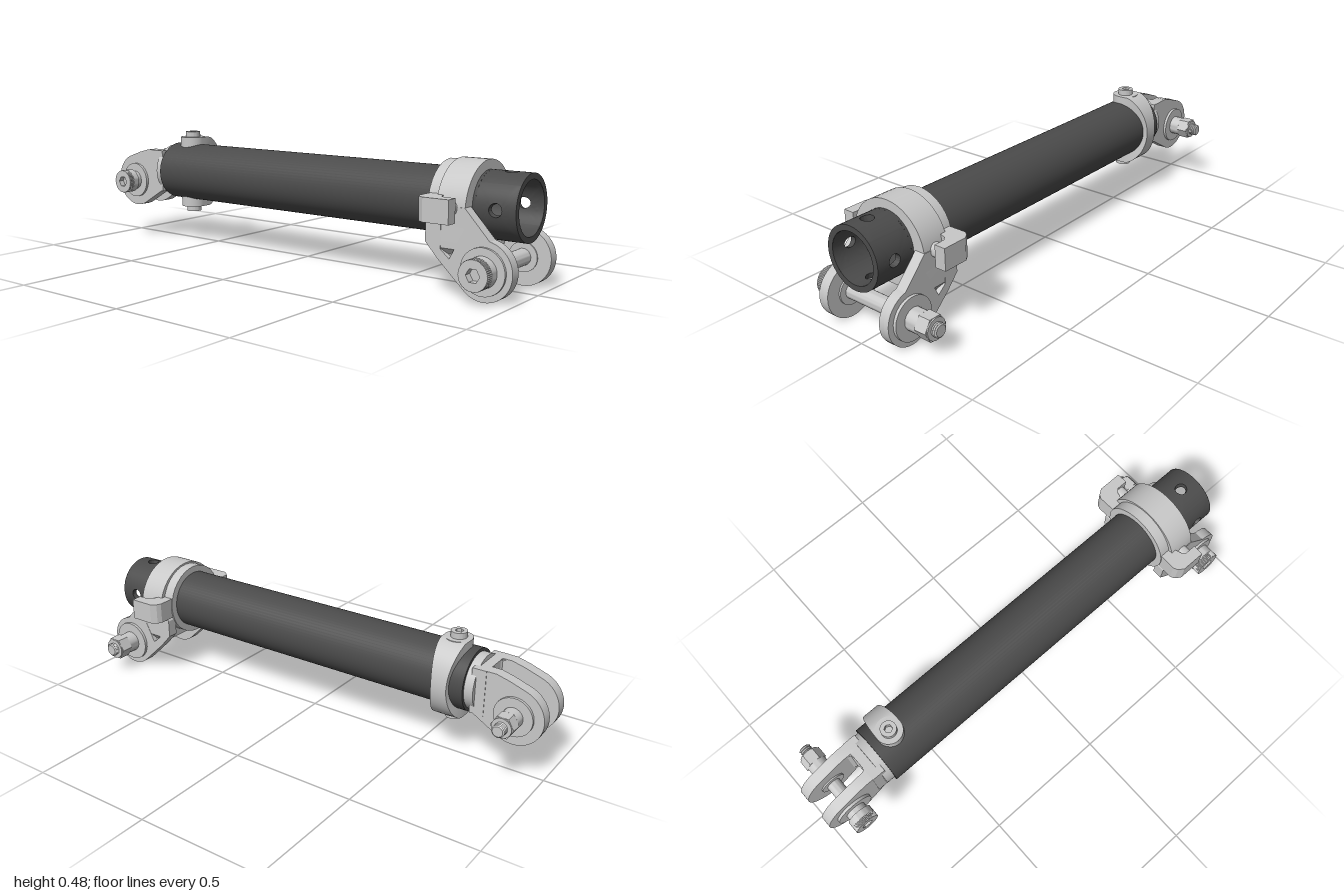
import * as THREE from 'three';
import { toCreasedNormals } from 'three/addons/utils/BufferGeometryUtils.js';

const CX = -0.03, CY = 0.304, R = 0.12, RI = 0.098; // tube axis and radii
const V = (x, y) => new THREE.Vector2(x, y);

export function createModel() {
  const model = new THREE.Group();
  const mat = (name, color, side = THREE.FrontSide) => {
    const m = new THREE.MeshStandardMaterial({ color, side });
    m.name = name;
    return m;
  };
  const steel = mat('light grey metal', 0xc8c8c8);
  const dark = mat('dark grey tube', 0x4b4b4b, THREE.DoubleSide);

  const add = (name, geo, m = steel, parent = model) => {
    const mesh = new THREE.Mesh(geo, m);
    mesh.name = name;
    parent.add(mesh);
    return mesh;
  };
  const poly = (pts) => new THREE.Shape(pts.map(([x, y]) => V(x, y)));
  const extrude = (shape, depth, curveSegments = 16) =>
    toCreasedNormals(new THREE.ExtrudeGeometry(shape, { depth, bevelEnabled: false, curveSegments }), 0.45);
  // side profile given as (z, y), extruded from x0 to x1
  const extrudeX = (shape, x0, x1) => extrude(shape, x1 - x0).rotateY(-Math.PI / 2).translate(x1, 0, 0);
  const rodX = (x0, x1, r, y, z, seg = 32) =>
    toCreasedNormals(new THREE.CylinderGeometry(r, r, x1 - x0, seg), 0.5)
      .rotateZ(-Math.PI / 2).translate((x0 + x1) / 2, y, z);
  const rodY = (y0, y1, r, x, z) =>
    new THREE.CylinderGeometry(r, r, y1 - y0, 28).translate(x, (y0 + y1) / 2, z);
  const circlePath = (x, y, r, seg = 32) =>
    new THREE.Path(Array.from({ length: seg }, (_, i) => {
      const a = -i / seg * Math.PI * 2;
      return V(x + r * Math.cos(a), y + r * Math.sin(a));
    }));
  // saw-tooth thread running up from y = 0
  const thread = (len, r) => {
    const pts = [V(0, 0)], n = Math.round(len / 0.008);
    for (let i = 0; i < n; i++) pts.push(V(r * 0.85, i / n * len), V(r, (i + 0.5) / n * len));
    pts.push(V(r * 0.8, len), V(0, len));
    return toCreasedNormals(new THREE.LatheGeometry(pts, 24), 0.5);
  };

  // ---- tube ----
  const z0 = -0.70, z1 = 0.83, z2 = 0.98;
  add('tube', toCreasedNormals(new THREE.LatheGeometry(
    [V(RI, z1), V(RI, z0), V(R, z0), V(R, z1)], 64), 0.5).rotateX(Math.PI / 2).translate(CX, CY, 0), dark);

  // drilled tube end: four bent panels, each with a round hole
  const panel = (quarter) => {
    const N = 40, M = 6, pos = [], idx = [], halfZ = (z2 - z1) / 2, arc = Math.PI / 4, hole = 0.024;
    const row = (t, r) => {
      for (let i = 0; i <= N; i++) {
        const a = i / N * Math.PI * 2, c = Math.cos(a), s = Math.sin(a), k = 1 / Math.max(Math.abs(c), Math.abs(s));
        const th = quarter * Math.PI / 2 + THREE.MathUtils.lerp(hole / R * c, arc * c * k, t);
        const z = (z1 + z2) / 2 + THREE.MathUtils.lerp(hole * s, halfZ * s * k, t);
        pos.push(CX + r * Math.cos(th), CY + r * Math.sin(th), z);
      }
    };
    for (let j = 0; j <= M; j++) row(1 - j / M, R);  // outside, inwards to the hole
    for (let j = 0; j <= M; j++) row(j / M, RI);     // hole wall, then inside
    for (let j = 0; j <= 2 * M; j++) for (let i = 0; i < N; i++) {
      const a = j * (N + 1) + i, b = a + N + 1;
      idx.push(a, a + 1, b, b, a + 1, b + 1);
    }
    const g = new THREE.BufferGeometry();
    g.setAttribute('position', new THREE.Float32BufferAttribute(pos, 3));
    g.setIndex(idx);
    return toCreasedNormals(g, 0.6);
  };
  for (let q = 0; q < 4; q++) add('drilledTubeEnd', panel(q), dark);
  add('tubeRim', new THREE.RingGeometry(RI, R, 64).translate(CX, CY, z2), dark);

  // ---- knurled socket bolt with washers, nut and thread ----
  const bolt = (name, y, z, k, d) => {
    const g = new THREE.Group();
    g.name = name;
    model.add(g);
    const head = new THREE.Shape(), n = 100, r = 0.055 * k;
    for (let i = 0; i < n; i++) {
      const a = i / n * Math.PI * 2, q = i % 2 ? r : r * 0.965;
      head[i ? 'lineTo' : 'moveTo'](z + q * Math.cos(a), y + q * Math.sin(a));
    }
    head.holes.push(circlePath(z, y, 0.026 * k, 6));
    const knurl = d.head + (d.headEnd - d.head) * 0.45;
    add('knurledHead', extrudeX(head, d.head, knurl), steel, g);
    add('headCollar', rodX(knurl, d.headEnd, r, y, z, 40), steel, g);
    add('headSpacer', rodX(d.headEnd, d.left, 0.045 * k, y, z), steel, g);
    add('shaft', rodX(d.left, d.right, 0.031 * k, y, z), steel, g);
    for (const [a, b] of [[d.left - 0.011, d.left + 0.001], [d.right - 0.001, d.right + 0.011]])
      add('washer', rodX(a, b, 0.083 * k, y, z, 40), steel, g);
    for (const x of [d.left + d.arm, d.right - d.arm])
      add('bushing', rodX(x - 0.006, x + 0.006, 0.055 * k, y, z), steel, g);
    add('nutSpacer', rodX(d.right, d.nut, 0.043 * k, y, z), steel, g);
    add('hexNut', rodX(d.nut, d.nutEnd, 0.049 * k, y, z, 6), steel, g);
    add('nutFace', rodX(d.nutEnd, d.nutEnd + 0.005, 0.042 * k, y, z), steel, g);
    add('boltThread', thread(d.end - d.nutEnd, 0.027 * k).rotateZ(-Math.PI / 2).translate(d.nutEnd, y, z), steel, g);
  };

  // ---- front fork ----
  const arch = new THREE.Shape();
  arch.moveTo(CX - 0.15, 0.143);
  arch.lineTo(CX + 0.15, 0.143);
  arch.lineTo(CX + 0.169, 0.165);
  arch.lineTo(CX + 0.169, 0.29);
  arch.absarc(CX, 0.29, 0.169, 0, Math.PI, false);
  arch.lineTo(CX - 0.169, 0.165);
  arch.holes.push(circlePath(CX, CY, R - 0.001, 48));
  add('clampBody', extrude(arch, 0.11, 14).translate(0, 0, 0.71));
  const flange = new THREE.Shape().absarc(CX, CY, 0.148, 0, Math.PI * 2, false);
  flange.holes.push(circlePath(CX, CY, R - 0.001, 48));
  add('clampFlange', extrude(flange, 0.05).translate(0, 0, 0.665));

  const armShape = () => {
    const s = new THREE.Shape();
    s.absarc(0.895, 0.105, 0.105, Math.PI * 1.25, Math.PI * 2.44, false);
    for (const p of [[0.82, 0.31], [0.71, 0.31], [0.67, 0.25], [0.67, 0.18], [0.72, 0.125]]) s.lineTo(...p);
    return s;
  };
  const outer = armShape();
  outer.holes.push(poly([[0.82, 0.24], [0.73, 0.25], [0.73, 0.16], [0.765, 0.13], [0.79, 0.18]]));
  for (const s of [-1, 1]) {
    const span = (a, b) => [CX + s * a, CX + s * b].sort((p, q) => p - q);
    add('frontForkArm', extrudeX(armShape(), ...span(0.127, 0.15)));
    add('frontForkArmRim', extrudeX(outer, ...span(0.15, 0.17)));
    // hooked wing beside the clamp
    const wing = poly([[0.125, 0.67], [0.21, 0.668], [0.228, 0.677], [0.243, 0.70], [0.243, 0.80],
      [0.198, 0.80], [0.198, 0.755], [0.185, 0.74], [0.155, 0.73], [0.125, 0.73]].map(([x, z]) => [CX + s * x, z]));
    add('clampWing', extrude(wing, 0.085).rotateX(Math.PI / 2).translate(0, 0.345, 0));
    add('crossPinHead', rodX(...span(0.16, 0.2), 0.026, CY, 0.765));
  }
  add('crossPin', rodX(CX - 0.165, CX + 0.165, 0.021, CY, 0.765));
  bolt('frontBolt', 0.105, 0.895, 1,
    { head: -0.275, headEnd: -0.21, left: -0.199, right: 0.141, arm: 0.043, nut: 0.2, nutEnd: 0.25, end: 0.275 });

  // ---- rear clevis ----
  const rodZ = (za, zb, r) => new THREE.CylinderGeometry(r, r, zb - za, 48)
    .rotateX(Math.PI / 2).translate(CX, CY, (za + zb) / 2);
  add('clevisCollar', rodZ(-0.735, -0.698, 0.108));
  add('clevisPlug', toCreasedNormals(new THREE.LatheGeometry(
    [V(0, -0.69), V(0.05, -0.69), V(0.06, -0.56), V(0.088, -0.55), V(0.0975, -0.56), V(0.0975, -0.70)].reverse(), 40), 0.4)
    .rotateX(Math.PI / 2).translate(CX, CY, 0));
  add('clevisBlock', new THREE.BoxGeometry(0.178, 0.178, 0.055).translate(CX, CY, -0.745));
  const ear = new THREE.Shape();
  ear.absarc(-0.888, 0.252, 0.112, Math.PI * 0.61, Math.PI * 1.68, false);
  for (const p of [[-0.73, 0.215], [-0.73, 0.393], [-0.81, 0.393], [-0.86, 0.38]]) ear.lineTo(...p);
  for (const x of [-0.117, 0.012]) add('clevisArm', extrudeX(ear, x, x + 0.045));
  // rounded inner corners between the arms
  for (const s of [-1, 1])
    add('clevisFillet', extrude(poly([[0.044, -0.77], [0.02, -0.77], [0.036, -0.776], [0.044, -0.795]]
      .map(([x, z]) => [CX + s * x, z])), 0.17).rotateX(Math.PI / 2).translate(0, 0.389, 0));
  bolt('rearBolt', 0.252, -0.888, 0.9,
    { head: -0.2, headEnd: -0.15, left: -0.117, right: 0.057, arm: 0.045, nut: 0.11, nutEnd: 0.155, end: 0.19 });

  // ---- rear strap: half loop around the left side of the tube ----
  const ZS = -0.615, N = 36, pos = [], idx = [];
  for (let i = 0; i <= N; i++) {
    const a = Math.PI / 2 - i / N * Math.PI, s2 = Math.sin(a) ** 2;
    const ro = Math.min(0.151 / Math.max(Math.abs(Math.sin(a)), 0.01), 0.14 + 0.02 * s2), w = 0.031 + 0.022 * s2;
    for (const [r, z] of [[0.118, -w], [ro, -w], [ro, w], [0.118, w]])
      pos.push(CX + r * Math.cos(a), CY + r * Math.sin(a), ZS + z);
  }
  for (let i = 0; i < N; i++) for (let j = 0; j < 4; j++) {
    const a = i * 4 + j, b = i * 4 + (j + 1) % 4;
    idx.push(a, b, a + 4, b, b + 4, a + 4);
  }
  const strap = new THREE.BufferGeometry();
  strap.setAttribute('position', new THREE.Float32BufferAttribute(pos, 3));
  strap.setIndex(idx);
  const strapSteel = steel.clone();
  strapSteel.side = THREE.DoubleSide;
  add('strap', toCreasedNormals(strap, 0.5), strapSteel);
  for (const s of [-1, 1]) {
    const at = (a, b) => [CY + s * a, CY + s * b].sort((p, q) => p - q);
    add('strapPad', rodY(...at(0.102, 0.151), 0.053, CX, ZS));
    // socket screw and its threaded end inside the tube
    const ring = new THREE.Shape().absarc(CX, -ZS, 0.031, 0, Math.PI * 2, false);
    ring.holes.push(circlePath(CX, -ZS, 0.016, 6));
    add('strapScrewHead', extrude(ring, 0.024).rotateX(-Math.PI / 2).translate(0, at(0.15, 0.174)[0], 0));
    const t = thread(0.05, 0.016);
    if (s < 0) t.rotateX(Math.PI);
    add('strapScrewThread', t.translate(CX, CY + s * 0.054, ZS));
  }
  return model;
}
